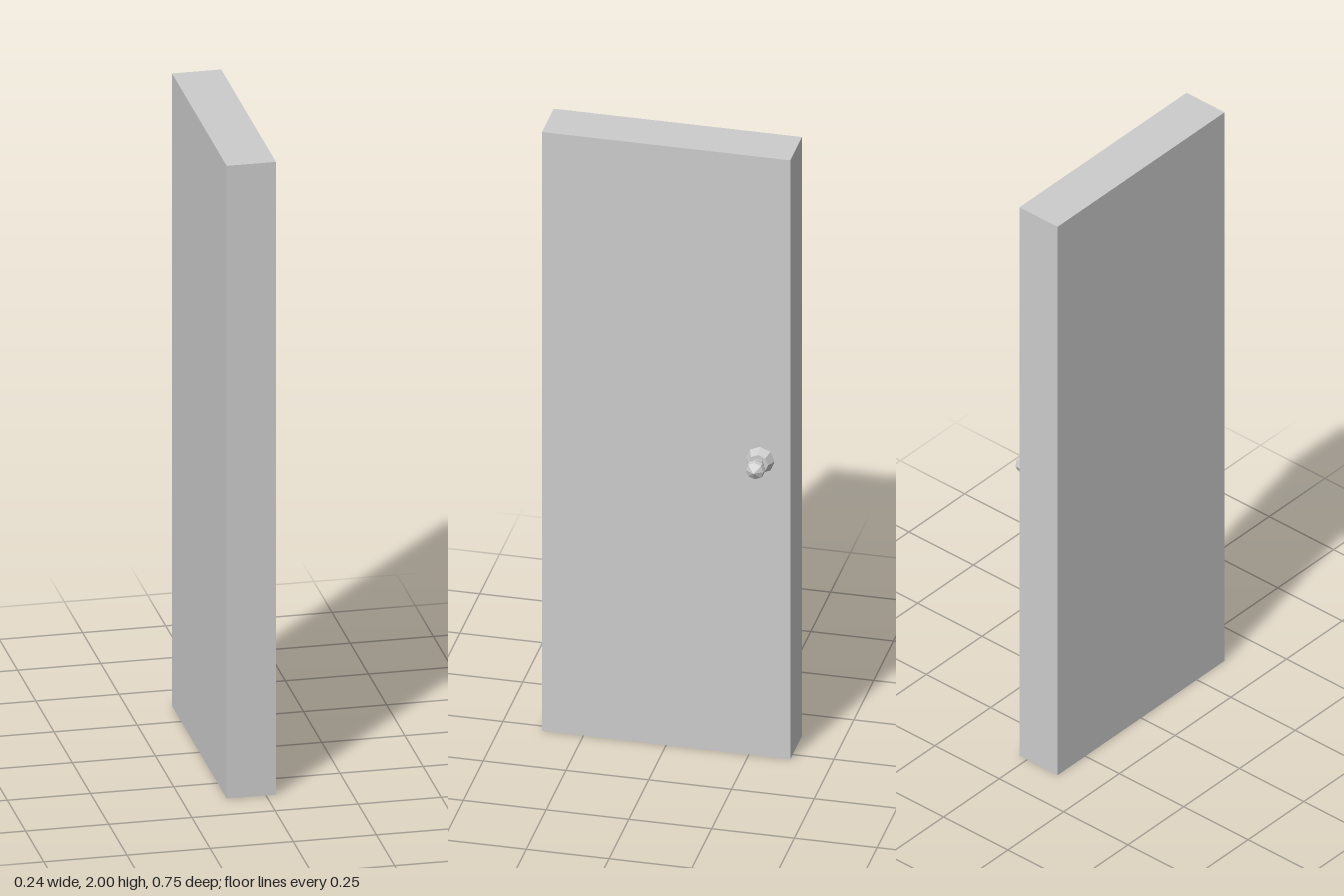
import * as THREE from 'three';

export function createModel() {
  const model = new THREE.Group();
  model.name = 'door';
  const material = new THREE.MeshStandardMaterial({
    color: 0xcccccc, flatShading: true, side: THREE.DoubleSide,
  });

  // Door slab: a hollow box, open underneath (the -y face is left out)
  const slab = new THREE.BoxGeometry(0.148, 2, 0.75);
  const index = Array.from(slab.index.array);
  index.splice(18, 6);
  slab.setIndex(index);
  slab.clearGroups();
  slab.translate(-0.044, 1, 0);
  const panel = new THREE.Mesh(slab, material);
  panel.name = 'doorPanel';
  model.add(panel);

  // Eight-sided knob: flared base, neck, bulb and pointed tip, as [radius, x]
  const profile = [
    [0.044, 0.03], [0.03, 0.056], [0.018, 0.056], [0.018, 0.078],
    [0.026, 0.078], [0.03, 0.088], [0.027, 0.101], [0, 0.118],
  ].map(([r, x]) => new THREE.Vector2(r, x));
  const knob = new THREE.Mesh(new THREE.LatheGeometry(profile, 8), material);
  knob.name = 'doorKnob';
  knob.rotation.z = -Math.PI / 2;
  knob.position.set(0, 0.988, -0.284);
  model.add(knob);

  return model;
}
